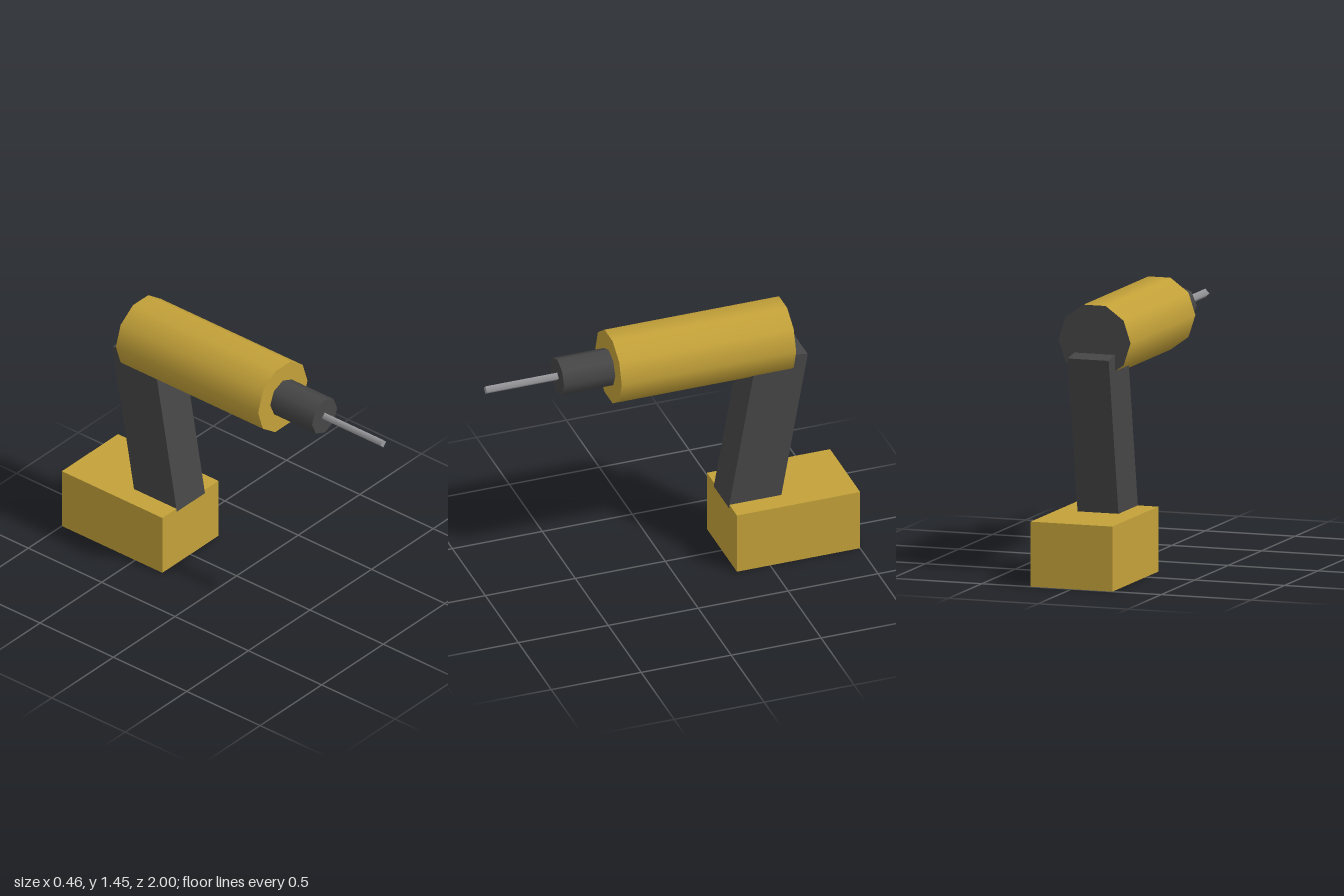
import * as THREE from 'three';

const gold = new THREE.MeshStandardMaterial({ name: 'gold', color: 0xc3a139 });
const charcoal = new THREE.MeshStandardMaterial({ name: 'charcoal', color: 0x464647 });
const steel = new THREE.MeshStandardMaterial({ name: 'steel', color: 0x9b9b9f });

const AXIS_Y = 1.258; // height of the barrel axis

function addMesh(group, name, geometry, material, x, y, z) {
  const mesh = new THREE.Mesh(geometry, material);
  mesh.name = name;
  mesh.position.set(x, y, z);
  group.add(mesh);
  return mesh;
}

// Prism lying along z; materials are [side, front cap, back cap]
function addBarrel(group, name, radius, sides, zBack, zFront, materials, start = 0) {
  const geometry = new THREE.CylinderGeometry(radius, radius, zFront - zBack, sides, 1, false, start);
  geometry.rotateX(Math.PI / 2);
  return addMesh(group, name, geometry, materials, 0, AXIS_Y, (zFront + zBack) / 2);
}

export function createModel() {
  const model = new THREE.Group();
  model.name = 'cordlessDrill';

  // Battery pack
  addMesh(model, 'battery', new THREE.BoxGeometry(0.456, 0.344, 0.685), gold, 0, 0.172, -0.6575);

  // Grip, leaning back
  const grip = addMesh(model, 'grip', new THREE.BoxGeometry(0.228, 0.912, 0.285), charcoal, 0, 0.751, -0.531);
  grip.rotation.x = THREE.MathUtils.degToRad(-10);

  // Motor housing with dark rear cap, chuck and bit
  addBarrel(model, 'motorHousing', 0.2, 10, -0.655, 0.315, [gold, gold, charcoal], Math.PI / 2);
  addBarrel(model, 'chuck', 0.102, 8, 0.305, 0.6, charcoal);
  addBarrel(model, 'bit', 0.023, 4, 0.59, 1, steel);

  return model;
}
